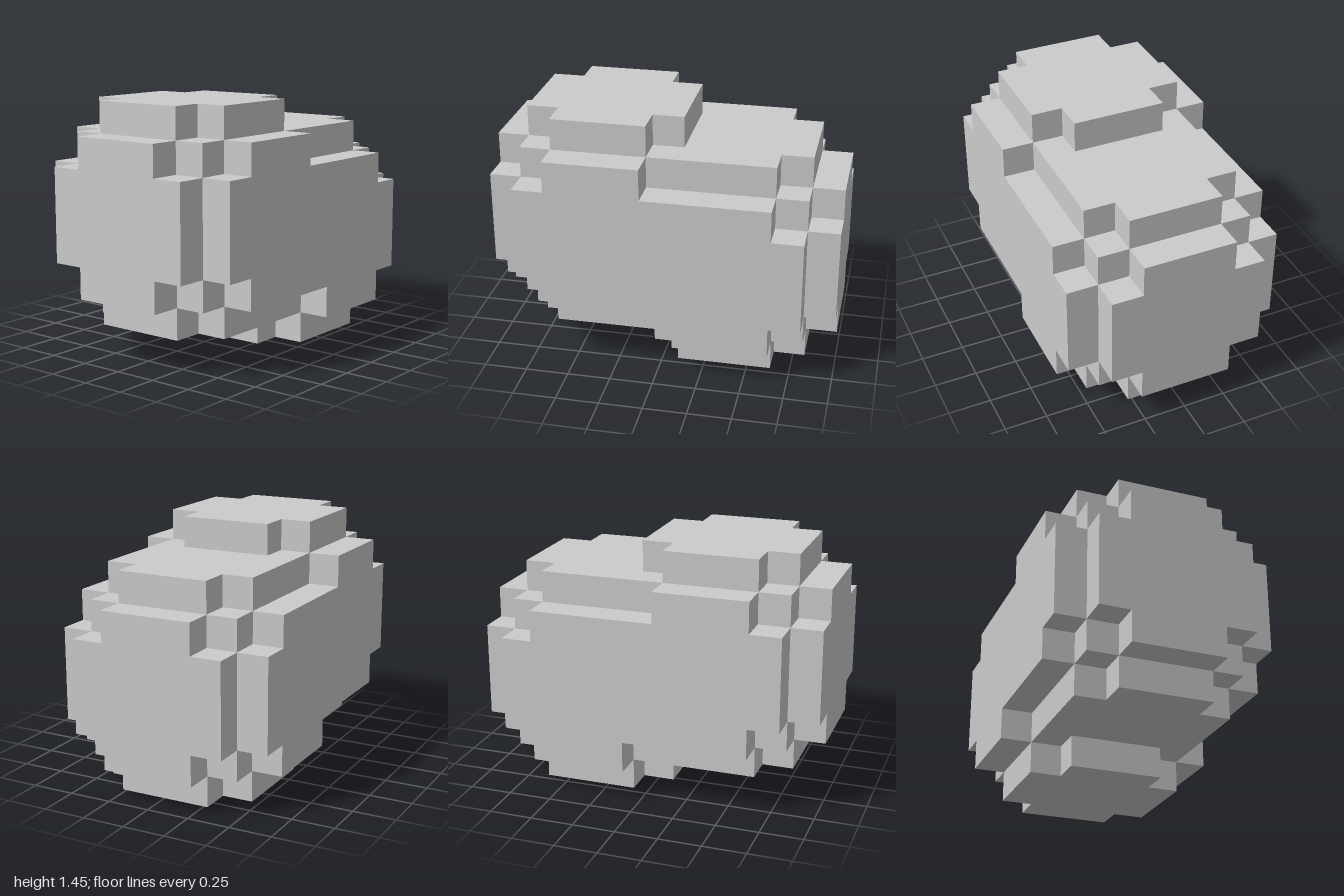
import * as THREE from 'three';
import { mergeGeometries } from 'three/addons/utils/BufferGeometryUtils.js';

const U = 2 / 11; // edge of one block

// Two rounded block lobes, centres in block units
const LOBES = [
  { name: 'upperLobe', centre: [-2, 4.5, 0] },
  { name: 'lowerLobe', centre: [2, 3.5, 0] },
];

// A block belongs to a lobe when its centre lies within a radius of 4 blocks
const inLobe = ({ centre }, p) =>
  p.reduce((sum, v, i) => sum + (v - centre[i]) ** 2, 0) <= 16 &&
  p.every((v, i) => Math.abs(v - centre[i]) <= 3);

const isSolid = (p) => LOBES.some((lobe) => inLobe(lobe, p));

const DIRECTIONS = [
  [1, 0, 0], [-1, 0, 0],
  [0, 1, 0], [0, -1, 0],
  [0, 0, 1], [0, 0, -1],
];

// One square block face, turned outward along dir
function blockFace(p, dir) {
  const normal = new THREE.Vector3(...dir);
  const turn = new THREE.Quaternion().setFromUnitVectors(new THREE.Vector3(0, 0, 1), normal);
  const at = new THREE.Vector3(...p).addScaledVector(normal, 0.5).multiplyScalar(U);
  return new THREE.PlaneGeometry(U, U).applyQuaternion(turn).translate(at.x, at.y, at.z);
}

// Outer skin of a lobe: blocks shared with an earlier lobe are skipped
function lobeGeometry(index) {
  const lobe = LOBES[index];
  const faces = [];
  for (let i = -3; i <= 3; i++) {
    for (let j = -3; j <= 3; j++) {
      for (let k = -3; k <= 3; k++) {
        const p = [i, j, k].map((v, a) => v + lobe.centre[a]);
        if (!inLobe(lobe, p)) continue;
        if (LOBES.slice(0, index).some((other) => inLobe(other, p))) continue;
        for (const dir of DIRECTIONS) {
          if (!isSolid(p.map((v, a) => v + dir[a]))) faces.push(blockFace(p, dir));
        }
      }
    }
  }
  return mergeGeometries(faces);
}

export function createModel() {
  const group = new THREE.Group();
  group.name = 'blockBoulder';
  const material = new THREE.MeshStandardMaterial({ color: 0xcccccc, flatShading: true });
  LOBES.forEach((lobe, index) => {
    const mesh = new THREE.Mesh(lobeGeometry(index), material);
    mesh.name = lobe.name;
    group.add(mesh);
  });
  return group;
}
